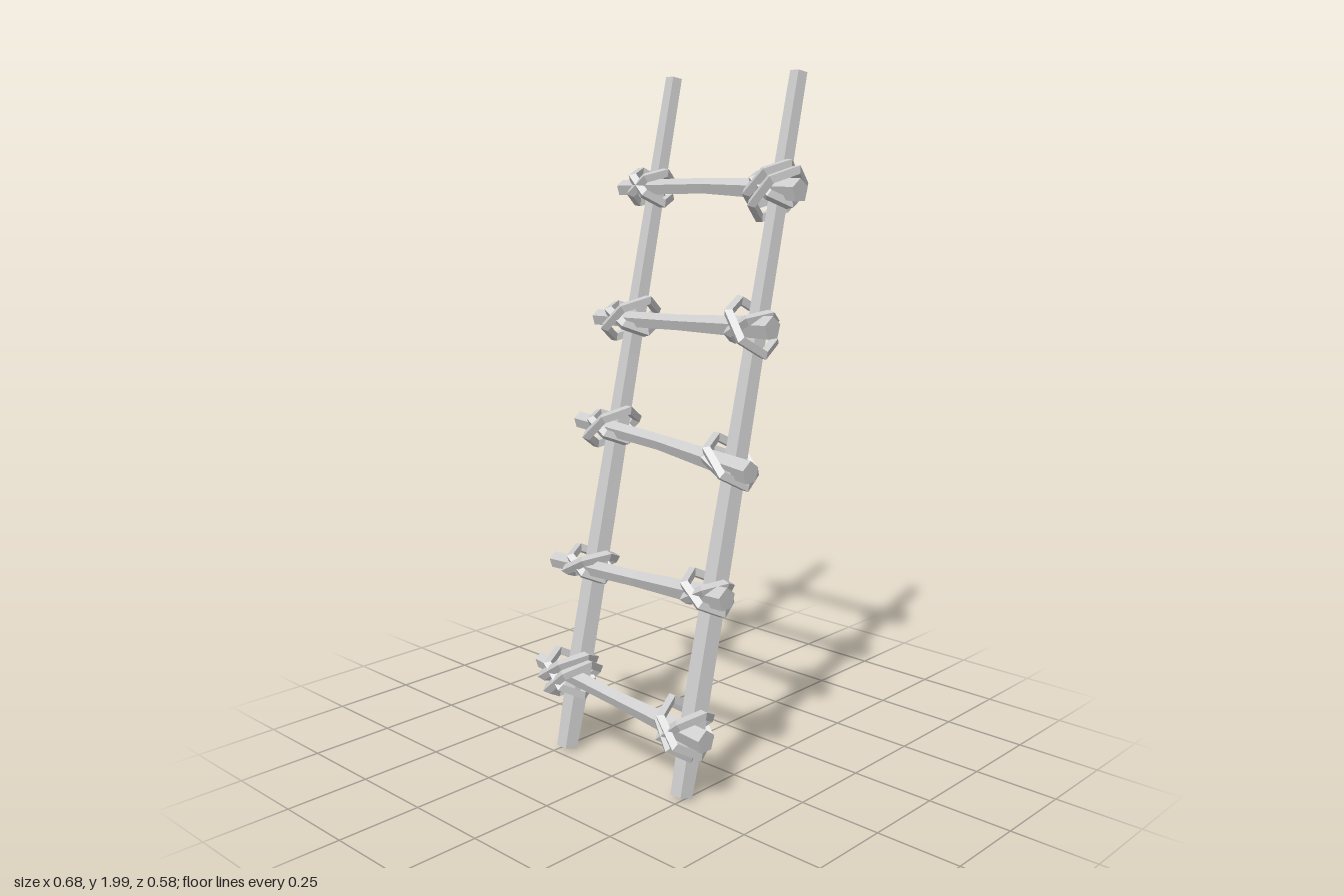
import * as THREE from 'three';

const LEAN = 0.233;
const material = new THREE.MeshStandardMaterial({ color: 0xcccccc, flatShading: true });

// Five-sided rough branch along +y; each section is [along, offsetX, offsetZ, radius]
function branch(name, sections, thetaStart) {
  const n = sections.length - 1;
  const geo = new THREE.CylinderGeometry(1, 1, 1, 5, n, false, thetaStart);
  const p = geo.attributes.position;
  for (let i = 0; i < p.count; i++) {
    const [y, ox, oz, r] = sections[Math.round((p.getY(i) + 0.5) * n)];
    p.setXYZ(i, ox + p.getX(i) * r, y, oz + p.getZ(i) * r);
  }
  geo.computeVertexNormals();
  const mesh = new THREE.Mesh(geo, material);
  mesh.name = name;
  return mesh;
}

// Six-segment rope loop around a joint: lies in the plane of the diagonal and the depth axis
function ropeLoop(tilt, radius, thickness, depth, shift) {
  const geo = new THREE.TorusGeometry(radius, thickness, 4, 6);
  geo.scale(1, depth, 1);
  geo.rotateX(Math.PI / 2);
  geo.translate(0, shift, 0);
  geo.rotateZ(tilt);
  geo.rotateX(-LEAN * 0.5);
  const mesh = new THREE.Mesh(geo, material);
  mesh.name = 'ropeLoop';
  return mesh;
}

// Each rung: heights and depths at left end, middle and right end; joint centre depth;
// loops on each side as [tilt, radius, shift]
const rungs = [
  { y: [0.26, 0.23, 0.205], z: [0.212, 0.217, 0.22], joint: 0.203,
    a: [[0.6, 0.086, 0.018], [0.75, 0.086, -0.02], [-0.75, 0.08, 0]],
    b: [[-0.85, 0.088, 0], [0.7, 0.08, 0], [-1.0, 0.08, -0.025]] },
  { y: [0.562, 0.574, 0.588], z: [0.148, 0.143, 0.14], joint: 0.115,
    a: [[0.5, 0.08, 0], [-0.6, 0.068, 0]],
    b: [[-0.65, 0.076, 0], [0.5, 0.07, 0]] },
  { y: [0.978, 0.957, 0.922], z: [0.04, 0.043, 0.047], joint: 0.021,
    a: [[0.75, 0.086, 0], [-0.5, 0.07, 0]],
    b: [[-0.8, 0.086, 0], [-0.5, 0.075, -0.015]] },
  { y: [1.282, 1.293, 1.305], z: [-0.04, -0.038, -0.038], joint: -0.061,
    a: [[0.75, 0.088, 0], [-0.5, 0.075, 0]],
    b: [[-0.95, 0.088, 0], [0.55, 0.072, 0]] },
  { y: [1.665, 1.675, 1.668], z: [-0.148, -0.145, -0.147], joint: -0.15,
    a: [[0.7, 0.068, 0], [-0.75, 0.068, 0]],
    b: [[0.85, 0.088, -0.02], [0.8, 0.08, 0.018], [-0.6, 0.07, 0]] },
];

export function createModel() {
  const model = new THREE.Group();
  model.name = 'ladder';

  // Two leaning poles, thickest near the foot
  for (const [name, x] of [['rightPole', -0.232], ['leftPole', 0.238]]) {
    const pole = branch(name, [
      [0, 0, 0, 0.032], [0.2, 0, 0, 0.038], [0.7, 0, 0, 0.036],
      [1.2, 0, 0, 0.031], [2.03, 0, 0, 0.025],
    ].map((s, i) => [i === 1 ? 0.2 : s[0], s[1], s[2], s[3]]), Math.PI);
    pole.position.set(x, 0.012, 0.21);
    pole.rotation.x = -LEAN;
    model.add(pole);
  }

  for (const { y, z, joint, a, b } of rungs) {
    // Rung lies across the front of the poles, thin in the middle
    const rung = branch('rung', [
      [-0.342, -y[0], z[0], 0.025],
      [0.0, -y[1], z[1], 0.024],
      [0.338, -y[2], z[2], 0.034],
    ], -Math.PI / 2);
    rung.rotation.z = -Math.PI / 2;
    model.add(rung);

    // Rope lashings at both crossings
    for (const [loops, x, end, name] of [[a, -0.222, 0, 'rightLashing'], [b, 0.245, 2, 'leftLashing']]) {
      const lashing = new THREE.Group();
      lashing.name = name;
      for (const [tilt, radius, shift] of loops) {
        lashing.add(ropeLoop(tilt, radius, 0.016, 0.95, shift));
      }
      lashing.position.set(x, y[1] * 0.4 + y[end] * 0.6, joint);
      model.add(lashing);
    }
  }
  return model;
}
